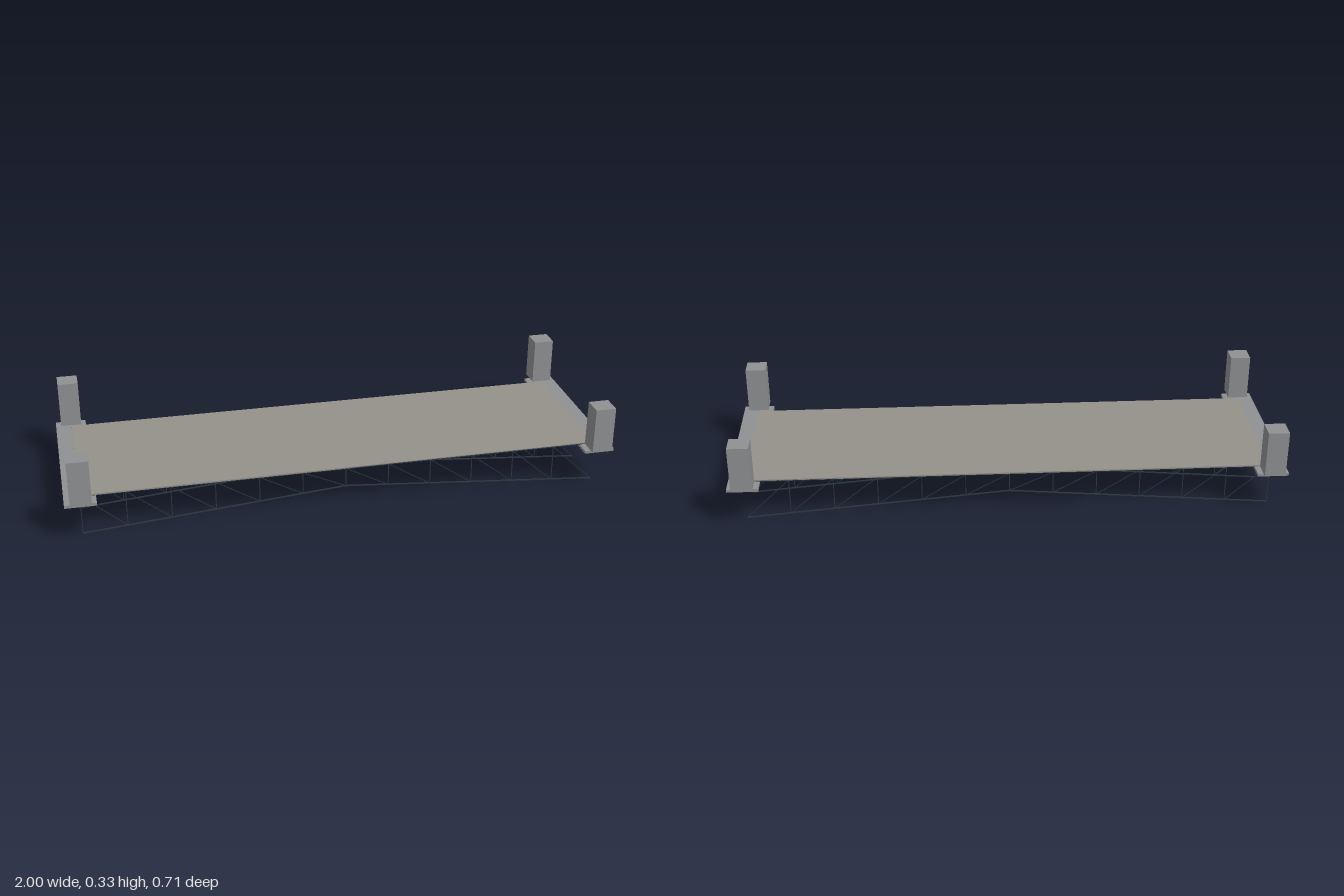
import * as THREE from 'three';

const material = (color) => new THREE.MeshStandardMaterial({ color });
const concrete = material(0x8f9092);
const asphalt = material(0x94918a);
const steel = material(0x2c3840);

const HALF = 0.943, DECK_TOP = 0.155, CHORD_TOP = 0.15, PANELS = 12;

function box(name, w, h, d, x, y, z, mat) {
  const mesh = new THREE.Mesh(new THREE.BoxGeometry(w, h, d), mat);
  mesh.name = name;
  mesh.position.set(x, y, z);
  return mesh;
}

// Square steel bar between two points in the plane of a truss
function bar(name, x0, y0, x1, y1, size) {
  const dx = x1 - x0, dy = y1 - y0;
  const mesh = box(name, Math.hypot(dx, dy), size, size, (x0 + x1) / 2, (y0 + y1) / 2, 0, steel);
  mesh.rotation.z = Math.atan2(dy, dx);
  return mesh;
}

// Lower chord rises from both ends to the middle
const lowerY = (x) => 0.08 - 0.078 * Math.abs(x) / HALF;

function truss() {
  const group = new THREE.Group();
  group.name = 'truss';
  group.add(
    bar('upperChord', -HALF, CHORD_TOP, HALF, CHORD_TOP, 0.004),
    bar('lowerChord', -HALF, lowerY(HALF), 0, lowerY(0), 0.004),
    bar('lowerChord', 0, lowerY(0), HALF, lowerY(HALF), 0.004)
  );
  const step = 2 * HALF / PANELS;
  for (let i = 0; i < PANELS; i++) {
    const x = -HALF + i * step;
    group.add(
      bar('vertical', x, lowerY(x), x, CHORD_TOP, 0.003),
      bar('diagonal', x, CHORD_TOP, x + step, lowerY(x + step), 0.002)
    );
  }
  return group;
}

export function createModel() {
  const model = new THREE.Group();
  model.name = 'bridge';

  // Roadway
  model.add(box('deck', 2 * HALF, 0.005, 0.55, 0, DECK_TOP - 0.0025, 0, asphalt));

  // Four trusses under the roadway
  for (const z of [-0.273, -0.091, 0.091, 0.273]) {
    const t = truss();
    t.position.z = z;
    model.add(t);
  }

  // Abutment slabs and corner pillars
  for (const sx of [-1, 1]) {
    model.add(box('abutment', 0.112, 0.011, 0.658, sx * 0.944, 0.1435, 0, concrete));
    for (const sz of [-1, 1]) {
      model.add(box('pillar', 0.075, 0.171, 0.075, sx * 0.943, 0.24, sz * 0.32, concrete));
    }
  }
  return model;
}
